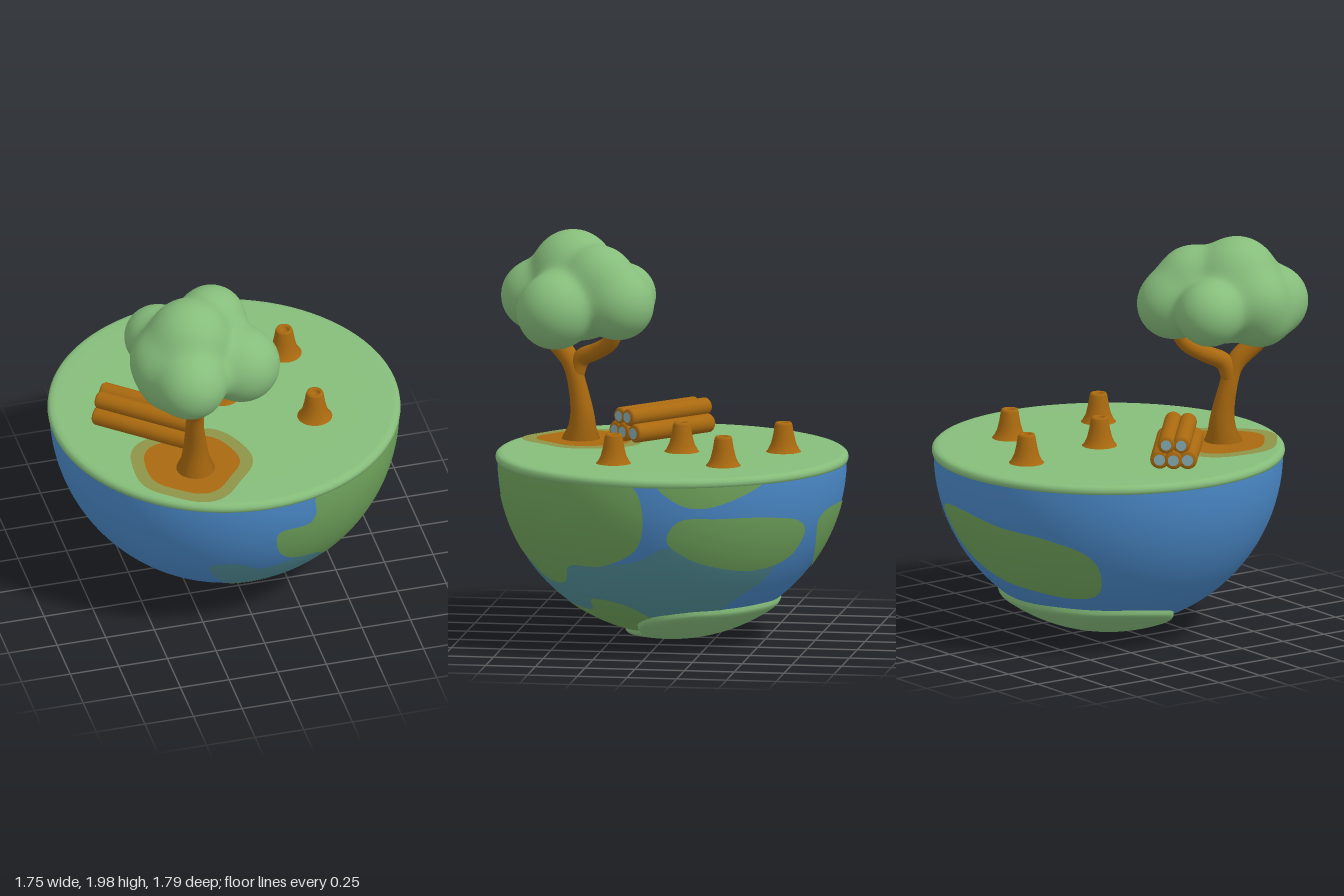
import * as THREE from 'three';
import { mergeVertices } from 'three/addons/utils/BufferGeometryUtils.js';

const R = 0.868, CY = 0.895, CZ = -0.03, TOP = 0.935;
const V = (x, y, z) => new THREE.Vector3(x, y, z);

function material(name, color) {
  const m = new THREE.MeshStandardMaterial({ color });
  m.name = name;
  return m;
}

function add(parent, name, geometry, mat) {
  const mesh = new THREE.Mesh(geometry, mat);
  mesh.name = name;
  parent.add(mesh);
  return mesh;
}

const lathe = (pts, seg) => new THREE.LatheGeometry(pts.map(p => new THREE.Vector2(...p)), seg);

// Direction from the globe centre: azimuth in degrees (front = 0, +x = 90) and height
function dirAt([az, y]) {
  const a = THREE.MathUtils.degToRad(az), h = y - CY, r = Math.sqrt(R * R - h * h);
  return V(Math.sin(a) * r, h, Math.cos(a) * r).normalize();
}

// Curved patch filling a closed outline of directions; radius(t) runs from middle (0) to edge (1)
function spherePatch(dirs, radius, rings = 14, n = 112) {
  const mid = dirs.reduce((s, d) => s.add(d), V(0, 0, 0)).normalize();
  const turn = V(0, 0, 0);
  dirs.forEach((d, i) => turn.add(d.clone().cross(dirs[(i + 1) % dirs.length])));
  const outline = turn.dot(mid) < 0 ? dirs.slice().reverse() : dirs;
  const curve = new THREE.CatmullRomCurve3(outline, true, 'centripetal');
  const pos = [], index = [];
  for (let i = 0; i <= rings; i++) {
    const t = i / rings;
    for (let j = 0; j < n; j++) {
      const p = mid.clone().lerp(curve.getPoint(j / n), t).setLength(radius(t));
      pos.push(p.x, p.y + CY, p.z + CZ);
      if (i === rings) continue;
      const a = i * n + j, b = i * n + (j + 1) % n;
      if (i > 0) index.push(a, a + n, b);
      index.push(b, a + n, b + n);
    }
  }
  const g = new THREE.BufferGeometry();
  g.setAttribute('position', new THREE.Float32BufferAttribute(pos, 3));
  g.setIndex(index);
  g.computeVertexNormals();
  return g;
}

// Tube whose thickness follows a list of radii along its path
function taperedTube(points, radii) {
  const path = new THREE.CatmullRomCurve3(points), n = 28, sides = 20;
  const g = new THREE.TubeGeometry(path, n, 1, sides);
  const pos = g.attributes.position, p = V(0, 0, 0);
  for (let i = 0; i <= n; i++) {
    const c = path.getPointAt(i / n), f = i / n * (radii.length - 1);
    const k = Math.min(Math.floor(f), radii.length - 2);
    const r = THREE.MathUtils.lerp(radii[k], radii[k + 1], f - k);
    for (let j = 0; j <= sides; j++) {
      const v = i * (sides + 1) + j;
      p.fromBufferAttribute(pos, v).sub(c).multiplyScalar(r).add(c);
      pos.setXYZ(v, p.x, p.y, p.z);
    }
  }
  return g;
}

// Soft union of round lobes, found along rays from the middle
function blobGeometry(lobes, mid) {
  const k = 34;
  const inside = p => lobes.reduce((s, [x, y, z, r]) =>
    s + Math.exp(-k * (Math.hypot(p.x - x, p.y - y, p.z - z) - r)), 0) > 1;
  let g = new THREE.IcosahedronGeometry(1, 26);
  g.deleteAttribute('uv');
  g.deleteAttribute('normal');
  g = mergeVertices(g, 1e-4);
  const pos = g.attributes.position, d = V(0, 0, 0), p = V(0, 0, 0);
  for (let i = 0; i < pos.count; i++) {
    d.fromBufferAttribute(pos, i).normalize();
    let hi = 0.7;
    while (hi > 0.05 && !inside(p.copy(mid).addScaledVector(d, hi))) hi -= 0.02;
    let lo = hi;
    hi += 0.02;
    for (let s = 0; s < 10; s++) {
      const m = (lo + hi) / 2;
      if (inside(p.copy(mid).addScaledVector(d, m))) lo = m; else hi = m;
    }
    p.copy(mid).addScaledVector(d, lo);
    pos.setXYZ(i, p.x, p.y, p.z);
  }
  g.computeVertexNormals();
  return g;
}

export function createModel() {
  const model = new THREE.Group();
  model.name = 'halfGlobeWithTree';
  const grass = material('grass green', 0x86bd7b);
  const land = material('land green', 0x70a45c);
  const sea = material('sea blue', 0x4a89c8);
  const shallows = material('shallow teal', 0x528f98);
  const wood = material('wood brown', 0xa9690f);
  const soil = material('soil edge', 0x8f9448);
  const cut = material('cut ends', 0x86aeb4);

  // Half globe and its grassy lid
  const bowl = new THREE.SphereGeometry(R, 96, 40, 0, Math.PI * 2, Math.PI / 2, Math.PI / 2);
  add(model, 'seaBowl', bowl, sea).position.set(0, CY, CZ);
  const lid = lathe([[0.86, 0.888], [0.873, 0.892], [0.877, 0.905], [0.875, 0.92], [0.863, 0.931],
    [0.84, TOP], [0.6, TOP], [0, TOP]], 96);
  add(model, 'grassLid', lid, grass).position.z = CZ;

  // Painted seas and continents as [azimuth, height] outlines
  const teal = [[-20, 0.48], [-10, 0.5], [0, 0.43], [12, 0.46], [35, 0.5], [85, 0.5], [97, 0.58],
    [120, 0.56], [142, 0.5], [140, 0.38], [130, 0.28], [120, 0.12], [0, 0.06], [-13, 0.1], [-15, 0.25]];
  add(model, 'shallowSea', spherePatch(teal.map(dirAt), () => R + 0.002), shallows);
  const continents = {
    frontContinent: [[17, 0.9], [17, 0.79], [15, 0.735], [4, 0.72], [4, 0.6], [9, 0.5], [24, 0.43],
      [32, 0.35], [45, 0.34], [50, 0.37], [56, 0.45], [72, 0.47], [86, 0.57], [89, 0.7], [88, 0.84],
      [85, 0.9], [50, 0.9]],
    rimContinent: [[94, 0.9], [101, 0.81], [108, 0.785], [119, 0.82], [130, 0.9], [112, 0.9]],
    sideContinent: [[97, 0.62], [101, 0.72], [115, 0.73], [132, 0.72], [147, 0.68], [152, 0.62],
      [149, 0.5], [134, 0.44], [119, 0.46], [104, 0.53]],
    backContinent: [[159, 0.66], [163, 0.7], [177, 0.71], [195, 0.67], [212, 0.64], [226, 0.57],
      [231, 0.48], [229, 0.32], [200, 0.32], [185, 0.35], [175, 0.4], [165, 0.5]],
    lowerContinent: [[-14, 0.22], [10, 0.235], [35, 0.2], [50, 0.2], [58, 0.27], [75, 0.25],
      [88, 0.16], [90, 0.08], [0, 0.045], [-14, 0.08]],
  };
  for (const [name, outline] of Object.entries(continents)) {
    add(model, name, spherePatch(outline.map(dirAt), () => R + 0.004), land);
  }

  // Raised cap under the globe, outlined in x and z
  const half = [[0.1, 0.22], [0.27, 0.12], [0.4, 0.11], [0.49, 0.03], [0.51, -0.17], [0.4, -0.37], [0.2, -0.51]];
  const capOutline = [...half, ...half.map(([x, z]) => [-x, z]).reverse()]
    .map(([x, z]) => V(x, -Math.sqrt(R * R - x * x - z * z), z).normalize());
  const capRadius = t => t < 0.9 ? CY : R - 0.008 + (CY - R + 0.008) * Math.sqrt(1 - ((t - 0.9) / 0.1) ** 2);
  add(model, 'bottomCap', spherePatch(capOutline, capRadius, 40), grass);

  // Soil around the tree
  [['soilEdge', 0.3, soil, 0.002], ['soil', 0.235, wood, 0.004]].forEach(([name, r, mat, lift]) => {
    const shape = new THREE.Shape();
    for (let i = 0; i < 60; i++) {
      const a = i / 60 * Math.PI * 2, s = r * (1 + 0.05 * Math.sin(3 * a) + 0.04 * Math.cos(5 * a + 1));
      shape[i ? 'lineTo' : 'moveTo'](Math.cos(a) * s, Math.sin(a) * s);
    }
    const mesh = add(model, name, new THREE.ShapeGeometry(shape), mat);
    mesh.rotation.x = -Math.PI / 2;
    mesh.position.set(-0.29, TOP + lift, 0.44);
  });

  // Tree: flared trunk, forked branches, lumpy crown
  const tree = new THREE.Group();
  tree.name = 'tree';
  model.add(tree);
  add(tree, 'trunk', taperedTube([V(-0.28, 0.92, 0.47), V(-0.28, 1.05, 0.465), V(-0.29, 1.2, 0.49),
    V(-0.3, 1.33, 0.53), V(-0.34, 1.42, 0.61), V(-0.4, 1.52, 0.71)],
    [0.105, 0.07, 0.058, 0.05, 0.045, 0.045, 0.05, 0.05, 0.045, 0.04]), wood);
  add(tree, 'branch', taperedTube([V(-0.295, 1.25, 0.5), V(-0.285, 1.34, 0.47), V(-0.24, 1.39, 0.38),
    V(-0.19, 1.44, 0.31), V(-0.15, 1.54, 0.27)], [0.04, 0.045, 0.042, 0.04, 0.045]), wood);
  const lobes = [
    [-0.33, 1.78, 0.52, 0.2], [-0.07, 1.61, 0.57, 0.19], [-0.37, 1.64, 0.71, 0.175],
    [-0.14, 1.64, 0.26, 0.175], [-0.43, 1.64, 0.28, 0.16], [-0.47, 1.68, 0.53, 0.155],
    [-0.17, 1.76, 0.36, 0.165], [-0.44, 1.59, 0.58, 0.15], [-0.27, 1.62, 0.46, 0.18]];
  add(tree, 'crown', blobGeometry(lobes, V(-0.27, 1.66, 0.48)), grass);

  // Stumps with hollow tops
  const stump = lathe([[0.092, 0.93], [0.078, 0.945], [0.063, 0.975], [0.052, 1.02], [0.044, 1.07],
    [0.039, 1.082], [0.027, 1.082], [0.022, 1.075], [0.018, 1.06], [0, 1.058]], 32);
  [[-0.07, -0.58], [0.395, -0.35], [0.005, -0.08], [0.405, 0.2]].forEach(([x, z]) => {
    add(model, 'stump', stump, wood).position.set(x, 0, z);
  });

  // Pile of logs: three below, two on top
  const pile = new THREE.Group();
  pile.name = 'logPile';
  pile.position.set(-0.425, 0, 0.085);
  pile.rotation.y = -Math.atan2(0.34, 0.41);
  model.add(pile);
  [[-0.07, 0.985, 0.047], [0, 0.985, 0.046], [0.07, 0.985, 0.047], [-0.036, 1.063, 0.044], [0.038, 1.06, 0.044]]
    .forEach(([z, y, r], i) => {
      const h = 0.255 + 0.01 * (i % 2);
      const log = add(pile, 'log', lathe([[0, -h], [r * 0.8, -h], [r, -h + 0.012], [r, h - 0.012],
        [r * 0.8, h], [0, h]], 20), wood);
      log.position.set(0, y, z);
      log.rotation.z = Math.PI / 2;
      for (const s of [-1, 1]) {
        const end = add(pile, 'logEnd', new THREE.CircleGeometry(r * 0.6, 20), cut);
        end.position.set(s * (h + 0.002), y, z);
        end.rotation.y = s * Math.PI / 2;
      }
    });
  return model;
}
